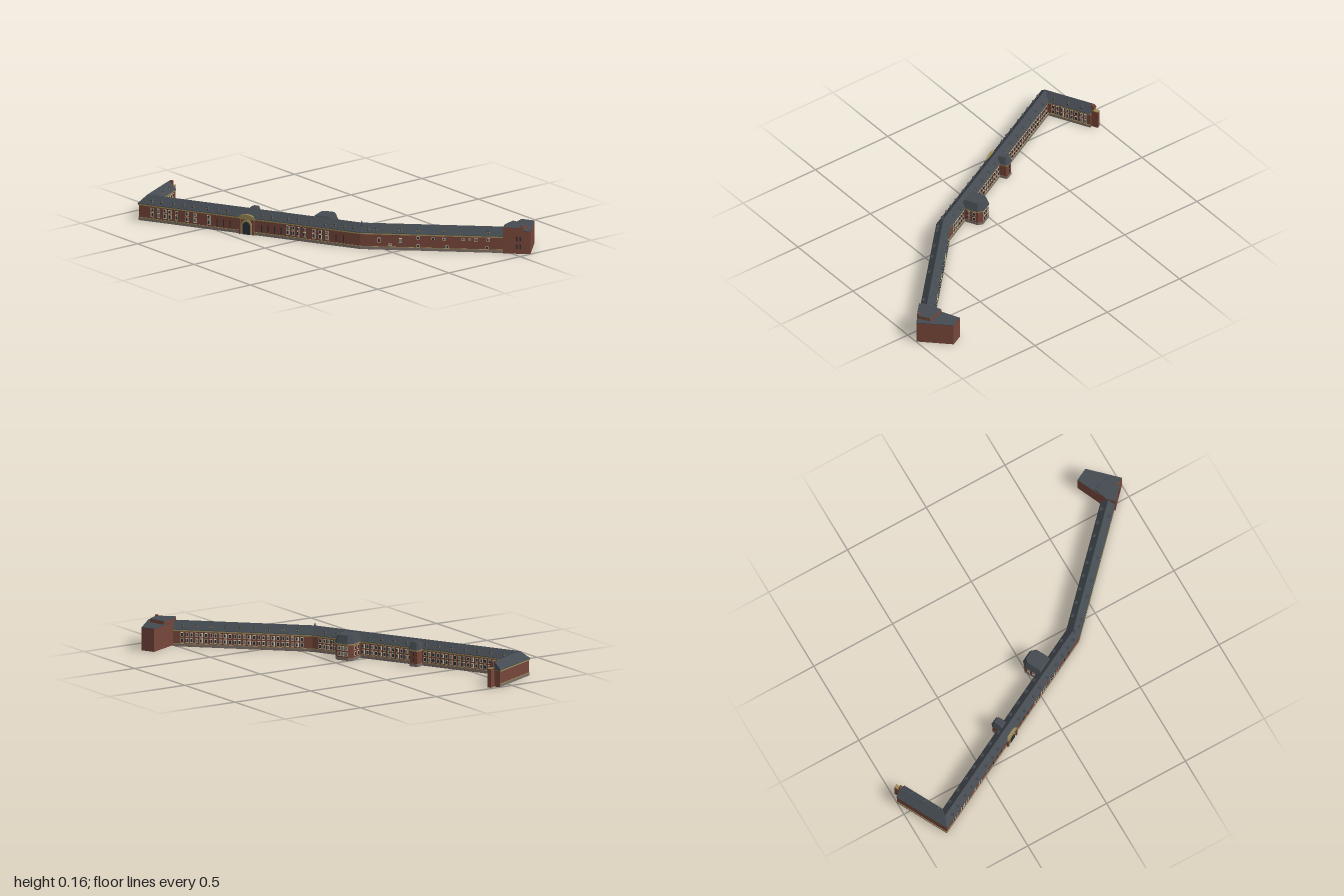
import * as THREE from 'three';
import { mergeGeometries } from 'three/addons/utils/BufferGeometryUtils.js';

const material = (name, color) => {
  const m = new THREE.MeshStandardMaterial({ color });
  m.name = name;
  return m;
};

export function createModel() {
  const brick = material('brick', 0x764639);
  const slate = material('slate', 0x444b51);
  const sandstone = material('sandstone', 0x9c8b58);
  const cream = material('cream', 0xcfc6ac);
  const glass = material('glass', 0x2b3036);
  const plinthGrey = material('plinth grey', 0x7d716a);

  // Geometry is gathered by part name and merged at the end
  const parts = new Map();
  function add(name, mat, geo, matrix) {
    const g = geo.index ? geo.toNonIndexed() : geo.clone();
    g.deleteAttribute('uv');
    if (matrix) g.applyMatrix4(matrix);
    g.computeVertexNormals();
    if (!parts.has(name)) parts.set(name, { mat, list: [] });
    parts.get(name).list.push(g);
  }
  const box = (w, h, d, x = 0, y = 0, z = 0) => new THREE.BoxGeometry(w, h, d).translate(x, y, z);
  function fromTriangles(points) {
    return new THREE.BufferGeometry().setFromPoints(points);
  }

  // Outer foot line of the range: short wing, long range, angled range
  const P = [[-1, 0.42], [-0.85, 0.712], [0.34, 0.1], [0.89, -0.47]].map(([x, z]) => new THREE.Vector3(x, 0, z));
  const dirs = [0, 1, 2].map(i => P[i + 1].clone().sub(P[i]).normalize());
  const outs = dirs.map(d => new THREE.Vector3(-d.z, 0, d.x));
  const lens = [0, 1, 2].map(i => P[i + 1].distanceTo(P[i]));
  const DEPTH = 0.07;
  // Mitred inward direction at each corner
  const mitres = P.map((p, i) => {
    const a = outs[Math.max(i - 1, 0)], b = outs[Math.min(i, 2)];
    return a.clone().add(b).divideScalar(1 + a.dot(b)).negate();
  });

  // Sweep a convex profile of [inward offset, height] along the range
  function sweep(name, mat, profile) {
    const rings = P.map((p, i) => profile.map(([o, y]) => p.clone().addScaledVector(mitres[i], o).setY(y)));
    const n = profile.length, tri = [];
    for (let i = 0; i < 3; i++) for (let j = 0; j < n; j++) {
      const k = (j + 1) % n, A = rings[i], B = rings[i + 1];
      tri.push(A[j], B[j], B[k], A[j], B[k], A[k]);
    }
    for (let j = 1; j < n - 1; j++) {
      tri.push(rings[0][0], rings[0][j], rings[0][j + 1]);
      tri.push(rings[3][0], rings[3][j + 1], rings[3][j]);
    }
    add(name, mat, fromTriangles(tri));
  }
  const band = (out, y0, y1) => [[-out, y0], [-out, y1], [DEPTH + out, y1], [DEPTH + out, y0]];
  sweep('walls', brick, band(0, 0, 0.095));
  sweep('plinth', plinthGrey, band(0.002, 0.001, 0.016));
  sweep('plinthMoulding', sandstone, band(0.003, 0.016, 0.019));
  sweep('cornice', sandstone, band(0.004, 0.087, 0.095));
  sweep('mainRoof', slate, [[-0.006, 0.095], [-0.006, 0.098], [0.035, 0.142], [0.076, 0.098], [0.076, 0.095]]);

  // Frame on a facade: local +z points away from the wall
  function at(seg, s, off, y, back = false) {
    const n = outs[seg].clone().multiplyScalar(back ? -1 : 1);
    const p = P[seg].clone().addScaledVector(dirs[seg], s).addScaledVector(outs[seg], -off);
    return new THREE.Matrix4().makeRotationY(Math.atan2(n.x, n.z)).setPosition(p.x, y, p.z);
  }

  // Windows: pale frame with two dark panes
  function windowAt(m, w = 0.017, h = 0.024) {
    add('windowFrames', cream, box(w, h, 0.004), m);
    for (const sx of [-1, 1]) add('windowPanes', glass, box(w * 0.28, h * 0.68, 0.002, sx * w * 0.2, 0, 0.0022), m);
  }
  function slitAt(m, h = 0.04) {
    add('slitWindows', glass, box(0.007, h, 0.003), m);
  }
  function dormer(seg, s, back) {
    const m = at(seg, s, back ? DEPTH - 0.012 : 0.012, 0.109, back);
    add('dormerFronts', sandstone, box(0.015, 0.018, 0.022, 0, 0, -0.004), m);
    add('dormerPanes', glass, box(0.007, 0.01, 0.002, 0, 0, 0.0075), m);
    const shape = new THREE.Shape([[-0.01, 0], [0.01, 0], [0, 0.008]].map(a => new THREE.Vector2(...a)));
    add('dormerRoofs', slate, new THREE.ExtrudeGeometry(shape, { depth: 0.028, bevelEnabled: false }).translate(0, 0.009, -0.019), m);
  }

  // Long front: window groups, slits and dormers
  const alongX = x => (x + 0.85) / dirs[1].x;
  const frontX = [-0.78, -0.745, -0.712, -0.685, -0.648, -0.59, -0.55, -0.475, -0.05, -0.022, 0.008, 0.04, 0.09, 0.125, 0.16];
  for (const x of frontX) {
    windowAt(at(1, alongX(x), 0, 0.07), 0.019, 0.019);
    windowAt(at(1, alongX(x), 0, 0.041), 0.019, 0.029);
  }
  for (const x of [-0.43, -0.395, -0.36, -0.19, -0.155, -0.12, -0.085, 0.21, 0.25]) slitAt(at(1, alongX(x), 0, 0.045));
  for (const x of [-0.785, -0.735, -0.67, -0.615, -0.565, -0.485, -0.43, -0.38, -0.19, -0.14, -0.055, 0, 0.065, 0.145, 0.2, 0.25, 0.3])
    dormer(1, alongX(x), false);

  // Angled front: scattered windows
  const alongZ = z => (0.1 - z) / -dirs[2].z;
  for (const [z, y] of [[0.025, 0.055], [-0.017, 0.03], [-0.06, 0.055], [-0.13, 0.073], [-0.13, 0.027], [-0.19, 0.071], [-0.235, 0.071],
    [-0.245, 0.027], [-0.31, 0.071], [-0.335, 0.071], [-0.36, 0.071], [-0.41, 0.073], [-0.405, 0.027]])
    windowAt(at(2, alongZ(z), 0, y), 0.018, y > 0.05 && y < 0.06 ? 0.028 : 0.015);
  for (const z of [0.07, 0.04, -0.06, -0.13, -0.23, -0.41]) dormer(2, alongZ(z), false);

  // Courtyard facades: dense regular windows, clear of the two towers
  const backRuns = [[0, 0.03, lens[0] - 0.1], [1, 0.1, 0.615], [1, 0.71, 1.005], [1, 1.155, lens[1] - 0.06], [2, 0.07, lens[2] - 0.05]];
  for (const [seg, s0, s1] of backRuns) {
    const n = Math.round((s1 - s0) / 0.027);
    for (let i = 0; i <= n; i++) {
      const s = s0 + (s1 - s0) * i / n;
      windowAt(at(seg, s, DEPTH, 0.069, true), 0.017, 0.024);
      windowAt(at(seg, s, DEPTH, 0.036, true), 0.017, 0.026);
      if (i % 3 === 1) dormer(seg, s, true);
    }
  }

  // Arched portal
  const portal = at(1, alongX(-0.27), 0, 0);
  const arch = (hw, straight, rise) => {
    const s = new THREE.Shape();
    s.moveTo(-hw, 0).lineTo(hw, 0).lineTo(hw, straight);
    s.absellipse(0, straight, hw, rise, 0, Math.PI, false, 0);
    return s;
  };
  const slab = (shape, depth) => new THREE.ExtrudeGeometry(shape, { depth, bevelEnabled: false, curveSegments: 8 });
  add('portalSurround', sandstone, slab(arch(0.031, 0.052, 0.031), 0.008), portal);
  add('portalDoor', glass, slab(arch(0.022, 0.048, 0.024), 0.0095), portal);
  add('portalPediment', sandstone, slab(arch(0.05, 0.004, 0.026), 0.014).translate(0, 0.085, -0.004), portal);
  for (const sx of [-1, 1]) add('portalPiers', brick, box(0.01, 0.088, 0.012, sx * 0.041, 0.044, 0.005), portal);

  // Courtyard towers with canted corners and steep flat-topped roofs
  function prism(name, mat, ring, y0, y1, m, top = 1) {
    const cx = ring.reduce((a, p) => a + p[0], 0) / ring.length;
    const cz = ring.reduce((a, p) => a + p[1], 0) / ring.length;
    const lo = ring.map(([x, z]) => new THREE.Vector3(x, y0, z));
    const hi = ring.map(([x, z]) => new THREE.Vector3(cx + (x - cx) * top, y1, cz + (z - cz) * top));
    const tri = [], n = ring.length;
    for (let i = 0; i < n; i++) {
      const k = (i + 1) % n;
      tri.push(lo[i], lo[k], hi[k], lo[i], hi[k], hi[i]);
      if (i > 0 && i < n - 1) tri.push(hi[0], hi[i], hi[i + 1], lo[0], lo[i + 1], lo[i]);
    }
    add(name, mat, fromTriangles(tri), m);
  }
  function tower(name, s, hw, depth, cant, roofTop, taper) {
    const m = at(1, s, DEPTH, 0, true);
    const ring = e => [[-hw - e, -0.03], [-hw - e, depth - cant], [-hw + cant, depth + e], [hw - cant, depth + e], [hw + e, depth - cant], [hw + e, -0.03]];
    prism(name + 'Walls', brick, ring(0), 0, 0.095, m);
    prism(name + 'Plinth', plinthGrey, ring(0.002), 0.001, 0.016, m);
    prism(name + 'Cornice', sandstone, ring(0.004), 0.087, 0.095, m);
    prism(name + 'Roof', slate, ring(0.006), 0.095, roofTop, m, taper);
    return m;
  }
  const big = tower('largeTower', 1.08, 0.055, 0.102, 0.02, 0.14, 0.72);
  for (const y of [0.036, 0.069]) {
    for (const x of [-0.022, 0, 0.022]) windowAt(big.clone().multiply(new THREE.Matrix4().setPosition(x, y, 0.102)));
    for (const sx of [-1, 1]) for (const z of [0.025, 0.058])
      windowAt(big.clone().multiply(new THREE.Matrix4().makeRotationY(sx * Math.PI / 2).setPosition(sx * 0.055, y, z)));
  }
  const small = tower('stairTower', 0.6625, 0.0275, 0.046, 0.006, 0.137, 0.55);
  for (const y of [0.04, 0.07]) slitAt(small.clone().multiply(new THREE.Matrix4().setPosition(0, y, 0.046)), 0.02);

  // End pavilion: low rear block and taller front block
  const rear = [[0.78, -0.685], [0.86, -0.505], [0.895, -0.465], [0.998, -0.575], [0.85, -0.72]];
  const tall = [[0.83, -0.585], [0.858, -0.503], [0.8955, -0.464], [0.972, -0.546], [0.93, -0.612]];
  prism('pavilionWalls', brick, rear, 0, 0.127, null);
  prism('pavilionRoof', slate, rear, 0.127, 0.131, null);
  prism('pavilionUpperWalls', brick, tall, 0.1, 0.149, null);
  prism('pavilionUpperRoof', slate, tall, 0.149, 0.152, null, 0.97);
  add('pavilionChimney', brick, box(0.014, 0.06, 0.014, 0.958, 0.13, -0.548));
  for (const y of [0.04, 0.085]) for (const s of [0.075, 0.095])
    slitAt(new THREE.Matrix4().makeRotationY(0.752).setPosition(0.895 + s * 0.683, y, -0.465 - s * 0.73), 0.026);

  // Ridge peak at the bend
  const ridge = P[2].clone().addScaledVector(mitres[2], 0.03);
  add('ridgePeak', slate, new THREE.ConeGeometry(0.016, 0.032, 4).translate(ridge.x, 0.141, ridge.z));

  // Low wall and chimney on the short wing's end
  const end = at(0, 0, 0.045, 0);
  add('wingEndWall', brick, box(0.04, 0.105, 0.02, -0.018, 0.0525, 0), end);
  add('wingEndCoping', sandstone, box(0.042, 0.004, 0.022, -0.018, 0.107, 0), end);
  add('wingEndChimney', brick, box(0.014, 0.05, 0.018, -0.004, 0.117, 0), end);

  const group = new THREE.Group();
  group.name = 'courtyardBuilding';
  for (const [name, { mat, list }] of parts) {
    const mesh = new THREE.Mesh(mergeGeometries(list), mat);
    mesh.name = name;
    group.add(mesh);
  }
  return group;
}
